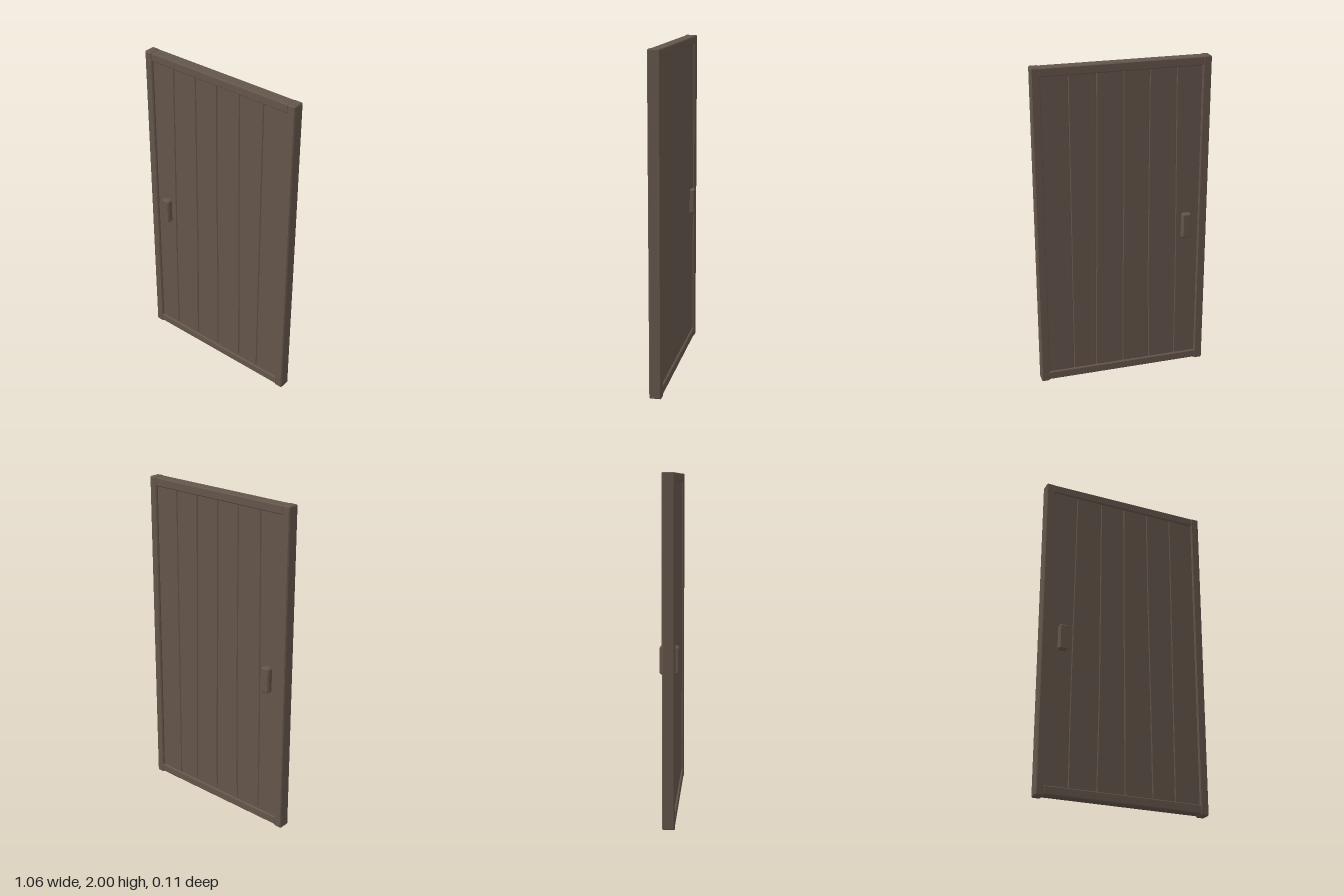
import * as THREE from 'three';
import { ConvexGeometry } from 'three/addons/geometries/ConvexGeometry.js';

const wood = new THREE.MeshStandardMaterial({ color: 0x64564b });
wood.name = 'dark brown wood';

// Box with every edge and corner chamfered by c
function chamferBox(w, h, d, c) {
  const half = [w / 2, h / 2, d / 2], points = [];
  for (const sx of [-1, 1]) for (const sy of [-1, 1]) for (const sz of [-1, 1]) {
    for (let outer = 0; outer < 3; outer++) {
      const p = half.map((v, i) => (i === outer ? v : v - c));
      points.push(new THREE.Vector3(sx * p[0], sy * p[1], sz * p[2]));
    }
  }
  return new ConvexGeometry(points);
}

export function createModel() {
  const door = new THREE.Group();
  door.name = 'door';
  const add = (name, geometry, x, y, z) => {
    const mesh = new THREE.Mesh(geometry, wood);
    mesh.name = name;
    mesh.position.set(x, y, z);
    door.add(mesh);
  };

  // Frame: two full-height posts with rails between them
  add('leftPost', chamferBox(0.052, 2, 0.072, 0.006), 0.504, 1, 0);
  add('rightPost', chamferBox(0.052, 2, 0.072, 0.006), -0.504, 1, 0);
  add('topRail', chamferBox(0.968, 0.052, 0.07, 0.005), 0, 1.972, 0);
  add('bottomRail', chamferBox(0.968, 0.052, 0.07, 0.005), 0, 0.034, 0);

  // Planks: neighbours share slightly wavy seams, given as x at each height
  const heights = [0.055, 0.65, 1.3, 1.95];
  const seams = [
    [-0.482, -0.482, -0.482, -0.482],
    [-0.34, -0.338, -0.33, -0.322],
    [-0.17, -0.161, -0.16, -0.16],
    [0.001, 0.001, -0.005, -0.005],
    [0.176, 0.169, 0.16, 0.155],
    [0.319, 0.319, 0.319, 0.319],
    [0.482, 0.482, 0.482, 0.482],
  ];
  const bevel = 0.005, depth = 0.046;
  for (let i = 0; i < seams.length - 1; i++) {
    const leftEdge = heights.map((y, k) => new THREE.Vector2(seams[i][k], y));
    const rightEdge = heights.map((y, k) => new THREE.Vector2(seams[i + 1][k], y));
    const geometry = new THREE.ExtrudeGeometry(new THREE.Shape([...leftEdge, ...rightEdge.reverse()]), {
      depth: depth - 2 * bevel,
      bevelEnabled: true, bevelThickness: bevel, bevelSize: bevel, bevelOffset: -bevel, bevelSegments: 1,
    });
    add('plank' + (i + 1), geometry, 0, 0, -depth / 2 + bevel);
  }

  // A handle block on each face
  for (const side of [1, -1]) {
    add(side > 0 ? 'frontHandle' : 'backHandle', chamferBox(0.056, 0.158, 0.04, 0.008), -0.398, 0.957, side * 0.036);
  }
  return door;
}
